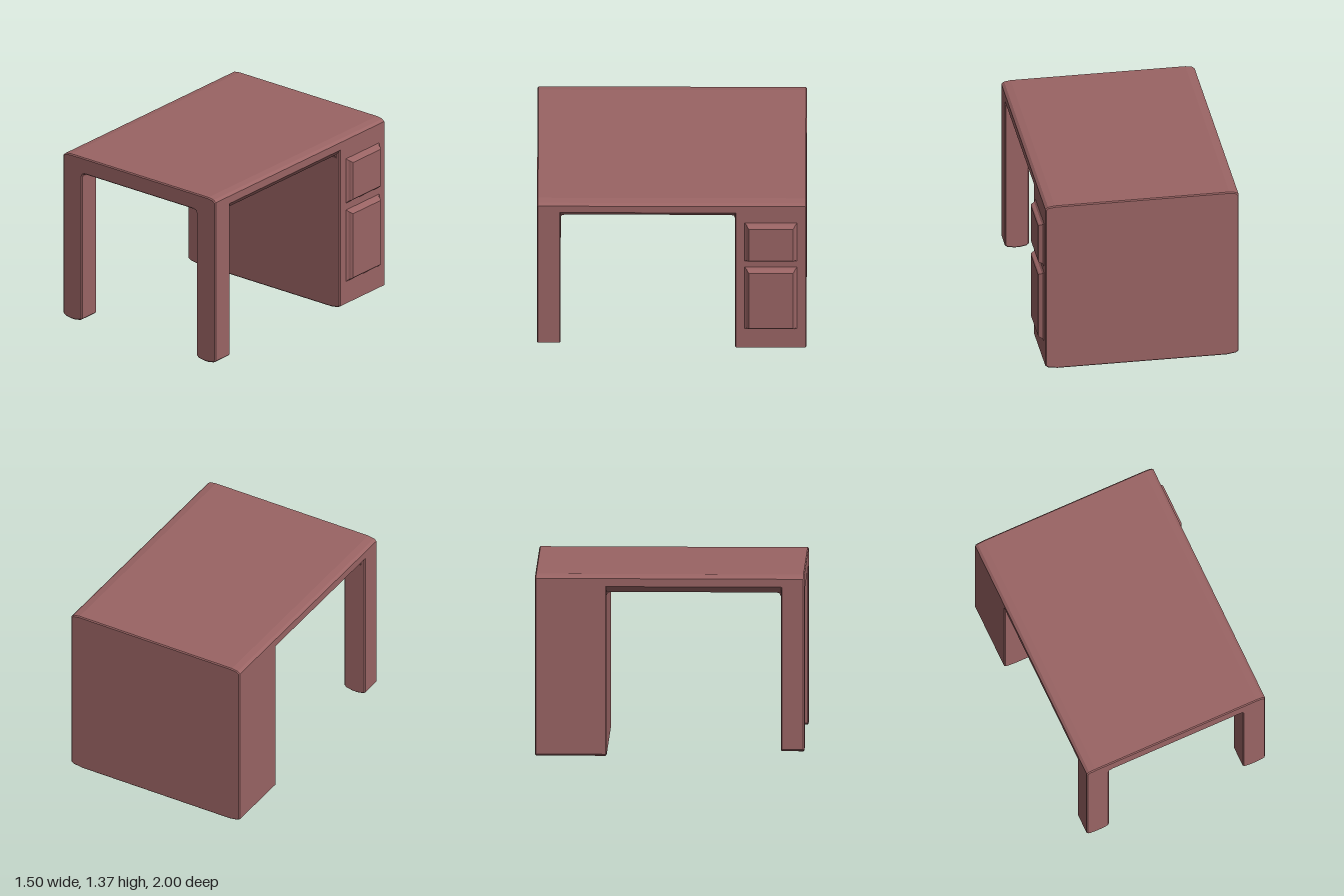
import * as THREE from 'three';

const L = -0.75, R = 0.705, TOP = 1.37, UNDER = 1.24, LEG = 0.18;

export function createModel() {
  const model = new THREE.Group();
  const material = new THREE.MeshStandardMaterial({ color: 0x9a6464, flatShading: true });

  const add = (name, geometry) => {
    const mesh = new THREE.Mesh(geometry, material);
    mesh.name = name;
    model.add(mesh);
    return mesh;
  };

  // Extrudes a front outline from z0 to z1 with slim bevelled edges
  const slice = (name, points, z0, z1, bevel = 0.008) => {
    const shape = new THREE.Shape(points.map(([x, y]) => new THREE.Vector2(x, y)));
    const geometry = new THREE.ExtrudeGeometry(shape, {
      depth: z1 - z0 - 2 * bevel, bevelEnabled: bevel > 0, bevelSize: bevel,
      bevelThickness: bevel, bevelOffset: -bevel, bevelSegments: 1,
    });
    geometry.translate(0, 0, z0 + bevel);
    return add(name, geometry);
  };

  // Softly domed edges shared by the top, the cabinet and the feet
  const topEdge = [[R, 1.345], [R - 0.02, 1.362], [R - 0.07, TOP],
    [L + 0.07, TOP], [L + 0.02, 1.362], [L, 1.345]];
  const bottomEdge = (x0, x1, y, run) => [[x0, y + 0.025], [x0 + run * 0.25, y + 0.01],
    [x0 + run, y], [x1 - run, y], [x1 - run * 0.25, y + 0.01], [x1, y + 0.025]];

  // Cabinet block filling the rear
  slice('cabinet', [...bottomEdge(L, R, 0, 0.09), ...topEdge], -1, -0.47);

  // Front frame: two legs joined by a rail with filleted inner corners
  const a = L + LEG, b = R - LEG;
  slice('frontLegs', [
    ...bottomEdge(L, a, 0.042, 0.07),
    [a, UNDER - 0.03], [a + 0.008, UNDER - 0.008], [a + 0.03, UNDER],
    [b - 0.03, UNDER], [b - 0.008, UNDER - 0.008], [b, UNDER - 0.03],
    ...bottomEdge(b, R, 0.042, 0.07),
    ...topEdge,
  ], 0.825, 1);

  // Table top spanning between, chamfered along its lower side edges
  slice('tableTop', [[L, 1.285], [L + 0.035, UNDER], [R - 0.035, UNDER], [R, 1.285],
    ...topEdge], -0.49, 0.85, 0);

  // Small fillets where the supports meet the underside
  const fillet = (name, z, dir, x0, x1) => {
    const points = [[0, 0.01], [0, -0.03], [0.008, -0.008], [0.03, 0], [0.03, 0.01]];
    const shape = new THREE.Shape(points.map(([u, v]) => new THREE.Vector2(u * dir, v)));
    const geometry = new THREE.ExtrudeGeometry(shape, { depth: x1 - x0, bevelEnabled: false });
    geometry.rotateY(-Math.PI / 2);
    geometry.translate(x1, UNDER, z);
    add(name, geometry);
  };
  fillet('cabinetFillet', -0.47, 1, L + 0.035, R - 0.035);
  fillet('rightLegFillet', 0.825, -1, L + 0.035, a);
  fillet('leftLegFillet', 0.825, -1, b, R - 0.035);

  // Raised panels on the cabinet side: stepped rings of [x, inset]
  const rings = [[R - 0.01, -0.025], [R + 0.003, -0.012], [R + 0.012, 0],
    [R + 0.033, 0.008], [R + 0.04, 0.016]];
  const panel = (name, y0, y1, z0, z1) => {
    const geometry = new THREE.BoxGeometry(1, 1, 1, rings.length - 1, 1, 1);
    const p = geometry.attributes.position;
    for (let i = 0; i < p.count; i++) {
      const [x, inset] = rings[Math.round((p.getX(i) + 0.5) * (rings.length - 1))];
      p.setXYZ(i, x,
        p.getY(i) > 0 ? y1 - inset : y0 + inset,
        p.getZ(i) > 0 ? z1 - inset : z0 + inset);
    }
    geometry.computeVertexNormals();
    add(name, geometry);
  };
  panel('drawerPanel', 0.85, 1.178, -0.917, -0.557);
  panel('doorPanel', 0.217, 0.765, -0.917, -0.557);

  return model;
}
